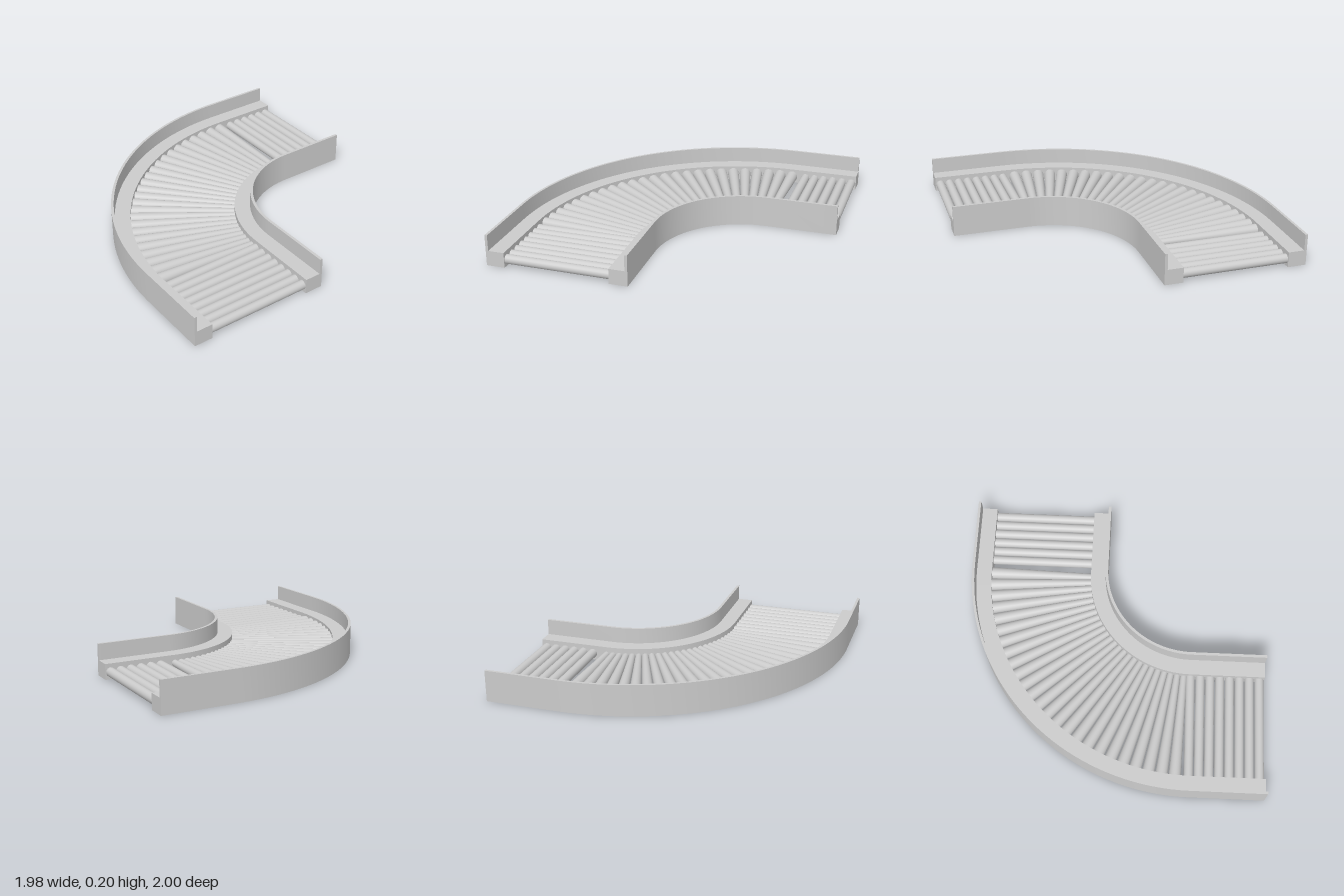
import * as THREE from 'three';
import { toCreasedNormals } from 'three/addons/utils/BufferGeometryUtils.js';

// Bend centre, straight ends and roller bed limits
const CX = 0.515, CZ = 0.505, END_X = 0.985, END_Z = 1.0;
const BED_IN = 0.70, BED_OUT = 1.385, ROLLER_Y = 0.046;
const ARC_STEPS = 40, BEND_ROLLERS = 25;

const material = new THREE.MeshStandardMaterial({ color: 0xcccccc });

// Point at distance r from the bend centre, at angle t round the bend
const onBend = (r, y, t) => new THREE.Vector3(CX - r * Math.cos(t), y, CZ - r * Math.sin(t));

// Sweeps a counter-clockwise (radius, height) section along straight, bend, straight
function sweepRail(section) {
  const rings = [section.map(([r, y]) => new THREE.Vector3(CX - r, y, END_Z))];
  for (let i = 0; i <= ARC_STEPS; i++) {
    rings.push(section.map(([r, y]) => onBend(r, y, (i / ARC_STEPS) * Math.PI / 2)));
  }
  rings.push(section.map(([r, y]) => new THREE.Vector3(END_X, y, CZ - r)));

  const points = [];
  const n = section.length;
  for (let i = 0; i < rings.length - 1; i++) {
    for (let j = 0; j < n; j++) {
      const k = (j + 1) % n;
      const a = rings[i][j], b = rings[i][k], c = rings[i + 1][k], d = rings[i + 1][j];
      points.push(a, b, c, a, c, d);
    }
  }
  // End caps
  const first = rings[0], last = rings[rings.length - 1];
  const contour = section.map(([r, y]) => new THREE.Vector2(r, y));
  for (const [a, b, c] of THREE.ShapeUtils.triangulateShape(contour, [])) {
    points.push(first[a], first[c], first[b], last[a], last[b], last[c]);
  }
  return toCreasedNormals(new THREE.BufferGeometry().setFromPoints(points), 0.5);
}

// Roller lying between two points, with a radius for each end
function makeRoller(name, from, to, rFrom, rTo) {
  const axis = to.clone().sub(from);
  const geometry = new THREE.CylinderGeometry(rTo, rFrom, axis.length(), 20);
  const roller = new THREE.Mesh(geometry, material);
  roller.name = name;
  roller.position.copy(from).add(to).multiplyScalar(0.5);
  roller.quaternion.setFromUnitVectors(new THREE.Vector3(0, 1, 0), axis.normalize());
  return roller;
}

export function createModel() {
  const model = new THREE.Group();
  model.name = 'curvedRollerConveyor';

  // L-shaped side rails: a low ledge with a thin guard wall on the far side
  const rails = {
    outerRail: [[1.385, 0], [1.505, 0], [1.505, 0.205], [1.488, 0.205], [1.488, 0.1], [1.385, 0.1]],
    innerRail: [[0.58, 0], [0.70, 0], [0.70, 0.1], [0.598, 0.1], [0.598, 0.205], [0.58, 0.205]],
  };
  for (const [name, section] of Object.entries(rails)) {
    const rail = new THREE.Mesh(sweepRail(section), material);
    rail.name = name;
    model.add(rail);
  }

  const rollers = new THREE.Group();
  rollers.name = 'rollers';
  model.add(rollers);
  const a = BED_IN - 0.005, b = BED_OUT + 0.005;

  // Straight rollers at the front end
  for (let i = 0; i < 8; i++) {
    const z = 0.965 - i * 0.0655;
    rollers.add(makeRoller('frontRoller', new THREE.Vector3(CX - a, ROLLER_Y, z),
      new THREE.Vector3(CX - b, ROLLER_Y, z), 0.03, 0.03));
  }
  // Straight rollers at the side end
  for (let i = 0; i < 6; i++) {
    const x = 0.95 - i * 0.067;
    rollers.add(makeRoller('sideRoller', new THREE.Vector3(x, ROLLER_Y, CZ - a),
      new THREE.Vector3(x, ROLLER_Y, CZ - b), 0.03, 0.03));
  }
  // Tapered rollers fanned round the bend
  for (let i = 1; i <= BEND_ROLLERS; i++) {
    const t = (i / BEND_ROLLERS) * Math.PI / 2;
    rollers.add(makeRoller('bendRoller', onBend(a, ROLLER_Y, t), onBend(b, ROLLER_Y, t), 0.022, 0.04));
  }
  return model;
}
